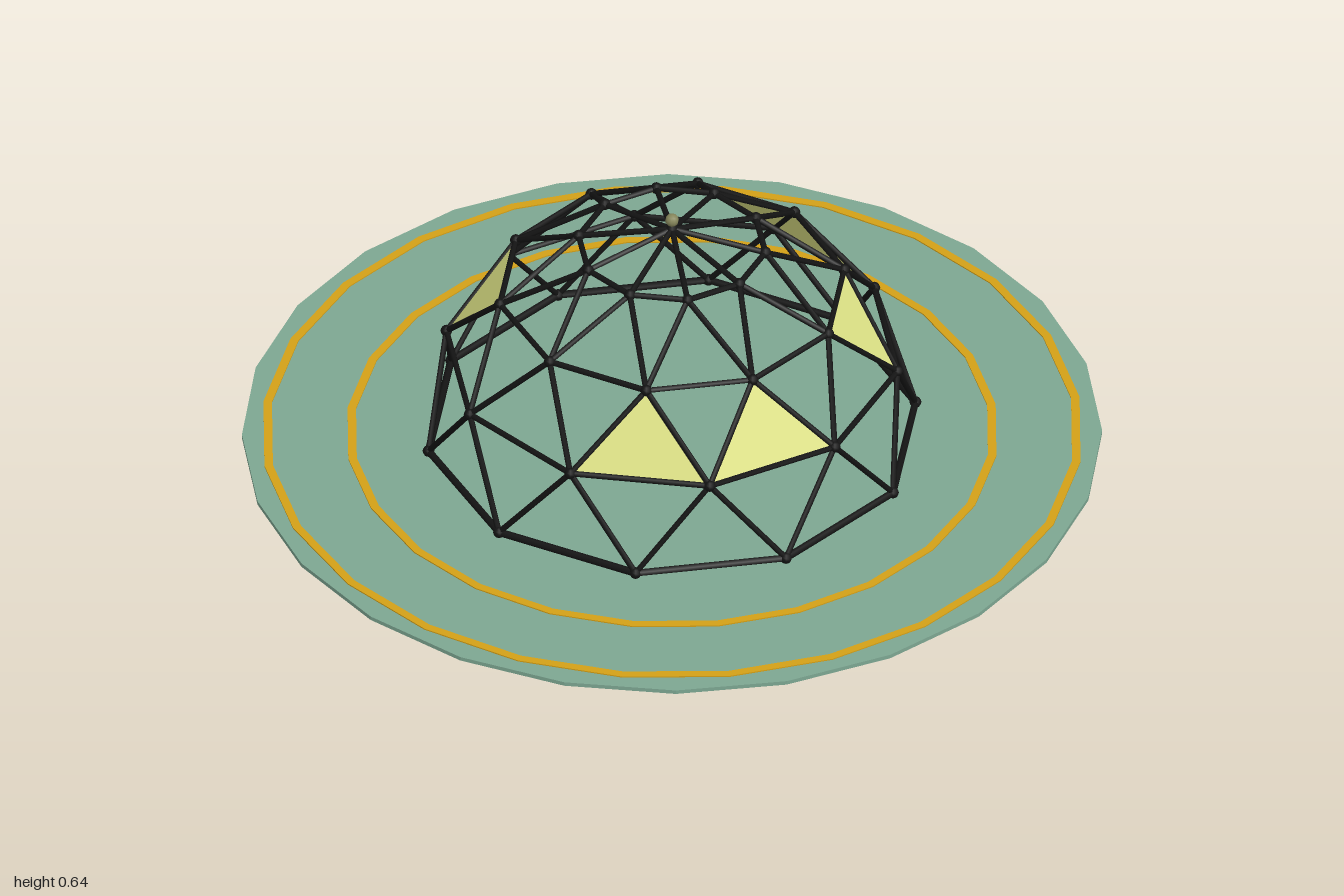
import * as THREE from 'three';

const SIDES = 10, RADIUS = 0.574, BASE_Y = 0.027, LEVELS = 4;

// Hub position: each level is 22.5 degrees higher, odd levels turned half a step
function hub(level, k) {
  const up = (level / LEVELS) * Math.PI / 2;
  const turn = (k + (level % 2) / 2) * 2 * Math.PI / SIDES;
  const r = RADIUS * Math.cos(up);
  return new THREE.Vector3(r * Math.cos(turn), BASE_Y + RADIUS * Math.sin(up), r * Math.sin(turn));
}

export function createModel() {
  const model = new THREE.Group();
  const material = (name, color, extra = {}) => {
    const m = new THREE.MeshStandardMaterial({ color, ...extra });
    m.name = name;
    return m;
  };
  const ground = material('sageGreen', 0x7da792, { flatShading: true });
  const gold = material('gold', 0xd4a017, { flatShading: true });
  const black = material('black', 0x141414);
  const pane = material('paleYellow', 0xdde285, { side: THREE.DoubleSide });
  const olive = material('olive', 0x85855a);

  const add = (name, geometry, mat, parent = model) => {
    const mesh = new THREE.Mesh(geometry, mat);
    mesh.name = name;
    parent.add(mesh);
    return mesh;
  };
  const group = (name) => {
    const g = new THREE.Group();
    g.name = name;
    model.add(g);
    return g;
  };

  // Round ground plate
  add('groundPlate', new THREE.CylinderGeometry(1, 1, 0.01, 24), ground).position.y = 0.005;

  // Two flat gold bands on the plate
  for (const [name, r] of [['innerBand', 0.75], ['outerBand', 0.947]]) {
    const w = 0.01;
    const profile = [[r + w, 0.009], [r + w, 0.013], [r - w, 0.013], [r - w, 0.009]]
      .map(([x, y]) => new THREE.Vector2(x, y));
    add(name, new THREE.LatheGeometry(profile, 24, Math.PI / 24), gold);
  }

  // Struts: rings, zigzags between levels, and spokes to the top hub
  const struts = group('struts');
  const strut = (a, b, r = 0.007) => {
    const mesh = add('strut', new THREE.CylinderGeometry(r, r, a.distanceTo(b), 6), black, struts);
    mesh.position.copy(a).add(b).multiplyScalar(0.5);
    mesh.quaternion.setFromUnitVectors(new THREE.Vector3(0, 1, 0), b.clone().sub(a).normalize());
  };
  const hubs = group('hubs');
  const hubShape = new THREE.SphereGeometry(0.014, 8, 6);
  const top = hub(LEVELS, 0);
  for (let level = 0; level < LEVELS; level++) {
    for (let k = 0; k < SIDES; k++) {
      const p = hub(level, k);
      add('hub', hubShape, black, hubs).position.copy(p);
      strut(p, hub(level, k + 1), level === 0 ? 0.009 : 0.007);
      if (level === LEVELS - 1) {
        strut(p, top);
      } else {
        const shift = level % 2 ? 0 : -1;
        strut(p, hub(level + 1, k + shift));
        strut(p, hub(level + 1, k + shift + 1));
      }
    }
  }
  add('topHub', hubShape, black, hubs).position.copy(top);

  // Triangular panes in the second band
  const panes = group('panes');
  const addPane = (corners) => {
    const g = new THREE.BufferGeometry().setFromPoints(corners);
    g.computeVertexNormals();
    add('pane', g, pane, panes);
  };
  for (const k of [2, 3, 6, 9]) addPane([hub(1, k), hub(2, k + 1), hub(1, k + 1)]);
  for (const k of [1, 6, 9]) addPane([hub(2, k), hub(2, k + 1), hub(1, k)]);

  // Small ball on top
  add('finial', new THREE.SphereGeometry(0.016, 10, 8), olive).position.y = 0.627;

  return model;
}
